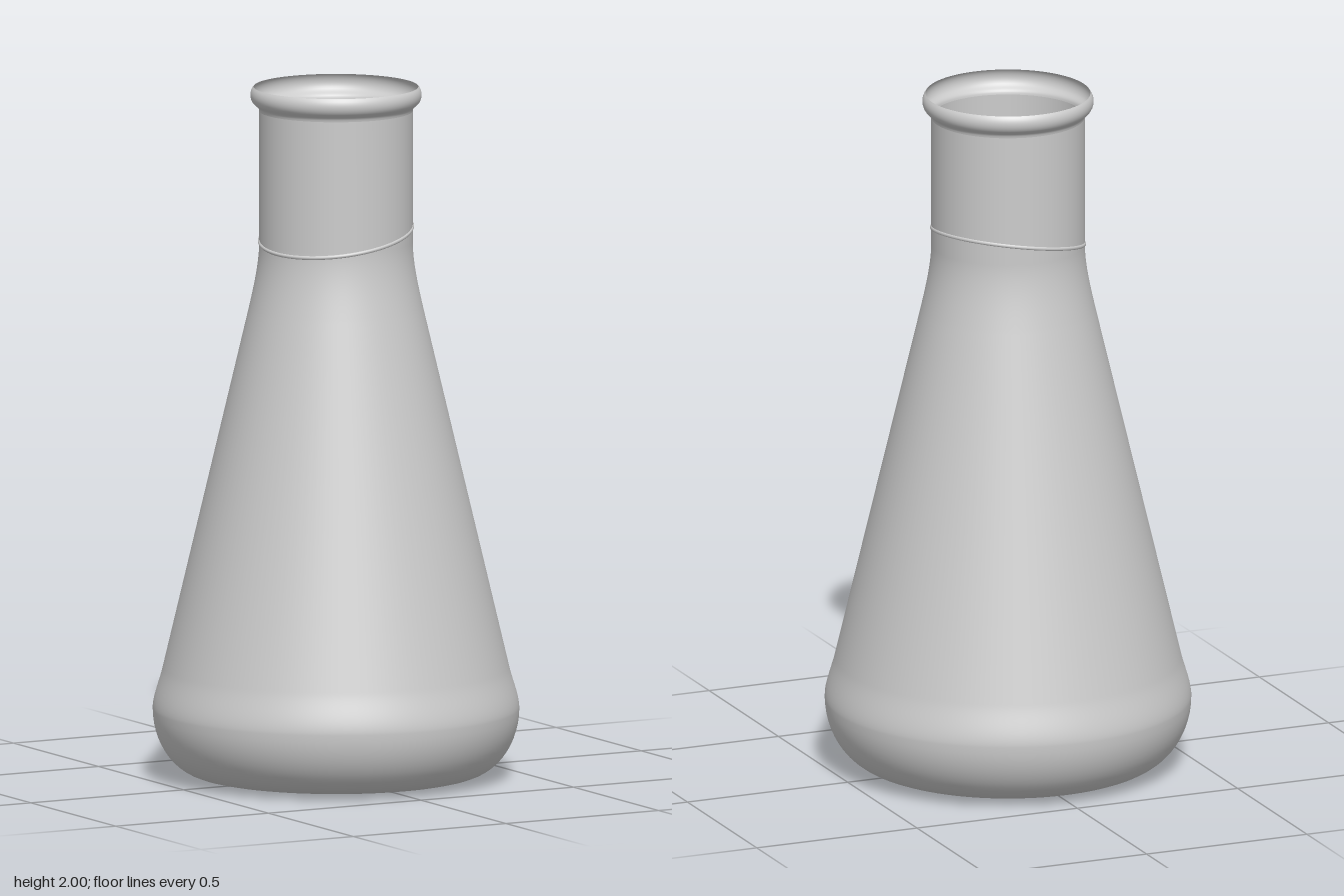
import * as THREE from 'three';

const material = new THREE.MeshStandardMaterial({ color: 0xcccccc, side: THREE.DoubleSide });

function lathe(name, path, divisions) {
  const mesh = new THREE.Mesh(new THREE.LatheGeometry(path.getPoints(divisions), 96), material);
  mesh.name = name;
  return mesh;
}

export function createModel() {
  const flask = new THREE.Group();
  flask.name = 'conicalFlask';

  // Flat base, slightly lower in the middle
  const base = new THREE.Path();
  base.moveTo(0, 0);
  base.lineTo(0.25, 0.001);
  base.lineTo(0.38, 0.01);
  flask.add(lathe('base', base, 1));

  // Rounded heel, conical body and straight neck
  const wall = new THREE.Path();
  wall.moveTo(0.38, 0.01);
  wall.bezierCurveTo(0.46, 0.01, 0.525, 0.1, 0.525, 0.2);
  wall.bezierCurveTo(0.525, 0.235, 0.505, 0.28, 0.496, 0.32);
  wall.lineTo(0.252, 1.35);
  wall.bezierCurveTo(0.236, 1.42, 0.22, 1.49, 0.22, 1.55);
  wall.lineTo(0.22, 1.93);
  flask.add(lathe('bodyAndNeck', wall, 14));

  // Rolled lip, open at the top
  const lip = new THREE.Path();
  lip.moveTo(0.22, 1.93);
  lip.bezierCurveTo(0.221, 1.945, 0.232, 1.945, 0.24, 1.957);
  lip.bezierCurveTo(0.249, 1.972, 0.246, 1.99, 0.236, 2);
  flask.add(lathe('lip', lip, 8));

  // Fine slanted seam around the neck
  const points = [];
  for (let i = 0; i < 48; i++) {
    const a = (i / 48) * Math.PI * 2;
    const x = Math.cos(a), z = Math.sin(a);
    points.push(new THREE.Vector3(0.218 * x, 1.575 + 0.036 * x - 0.02 * z, 0.218 * z));
  }
  const curve = new THREE.CatmullRomCurve3(points, true);
  const seam = new THREE.Mesh(new THREE.TubeGeometry(curve, 96, 0.006, 8, true), material);
  seam.name = 'neckSeam';
  flask.add(seam);

  return flask;
}
